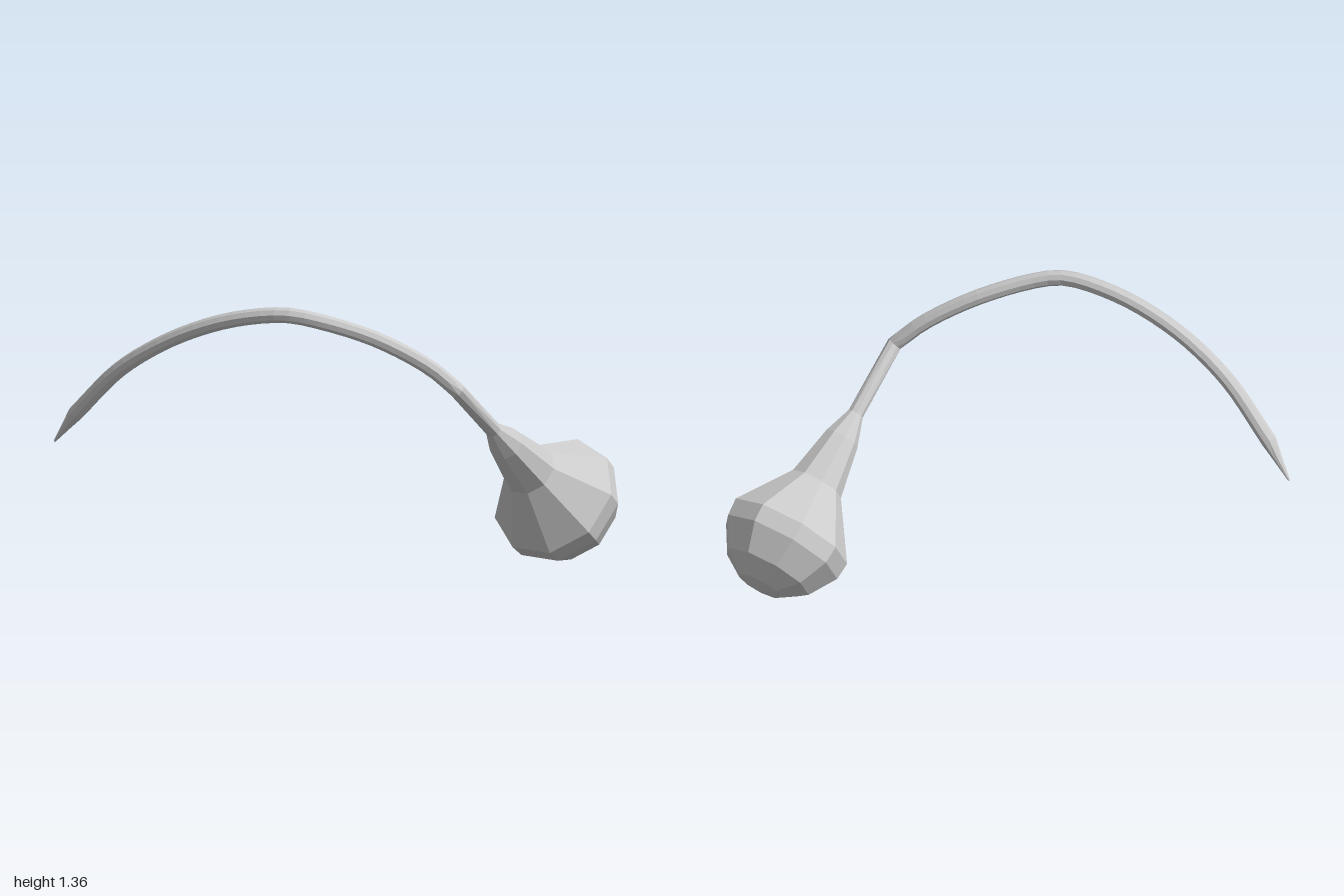
import * as THREE from 'three';

const SIDES = 9;

// Skin of nine-sided rings; each ring is { c: centre, t: tangent, r: radius }
function loft(name, rings, material) {
  const pos = [], index = [];
  for (const { c, t, r } of rings) {
    const u = new THREE.Vector3(0, 1, 0).addScaledVector(t, -t.y).normalize();
    const v = new THREE.Vector3().crossVectors(t, u);
    for (let j = 0; j < SIDES; j++) {
      const a = (j / SIDES) * Math.PI * 2;
      const p = c.clone().addScaledVector(u, r * Math.cos(a)).addScaledVector(v, r * Math.sin(a));
      pos.push(p.x, p.y, p.z);
    }
  }
  for (let i = 0; i < rings.length - 1; i++) {
    for (let j = 0; j < SIDES; j++) {
      const k = (j + 1) % SIDES;
      const a = i * SIDES + j, b = i * SIDES + k;
      index.push(a, b, b + SIDES, a, b + SIDES, a + SIDES);
    }
  }
  const indexed = new THREE.BufferGeometry();
  indexed.setAttribute('position', new THREE.Float32BufferAttribute(pos, 3));
  indexed.setIndex(index);
  const geometry = indexed.toNonIndexed();
  geometry.computeVertexNormals();
  const mesh = new THREE.Mesh(geometry, material);
  mesh.name = name;
  return mesh;
}

export function createModel() {
  const group = new THREE.Group();
  group.name = 'bentStalkWithBulb';
  const material = new THREE.MeshStandardMaterial({ color: 0xcccccc, flatShading: true });

  // Arched stalk, from the tip end to the knee
  const curve = new THREE.CatmullRomCurve3([
    [-0.83, 0.755, 0.957], [-0.6, 0.985, 0.925], [-0.4, 1.125, 0.88], [-0.2, 1.23, 0.815],
    [0, 1.3, 0.735], [0.2, 1.33, 0.64], [0.3, 1.31, 0.565], [0.5, 1.215, 0.36],
    [0.68, 1.075, 0.18], [0.77, 0.965, 0.09],
  ].map((p) => new THREE.Vector3(...p)));
  const STEPS = 32;
  const stalk = [];
  for (let i = 0; i <= STEPS; i++) {
    stalk.push({ c: curve.getPointAt(i / STEPS), t: curve.getTangentAt(i / STEPS), r: 0.037 });
  }

  // Straight axis of the neck and bulb, mitred with the stalk at the knee
  const knee = stalk[STEPS];
  const axis = new THREE.Vector3(0.663, 0.306, -0.69).sub(knee.c).normalize();
  knee.t = knee.t.clone().add(axis).normalize();
  const along = ([s, r]) => ({ c: knee.c.clone().addScaledVector(axis, s), t: axis, r });

  // Pointed tip
  const start = stalk[0];
  const tipEnd = new THREE.Vector3(-0.96, 0.6, 0.96);
  const tipDir = start.c.clone().sub(tipEnd).normalize();
  const tip = [[0, 0], [0.002, 0.005], [0.12, 0.023]].map(([s, r]) => (
    { c: tipEnd.clone().addScaledVector(tipDir, s), t: tipDir, r }));

  // Flaring neck, then the faceted bulb with its rounded end
  const neck = [[0.38, 0.038], [0.515, 0.084], [0.763, 0.131]].map(along);
  const bulb = [[1.024, 0.305], [1.109, 0.299], [1.24, 0.219], [1.314, 0.11], [1.338, 0]].map(along);

  group.add(
    loft('tip', [...tip, start], material),
    loft('stalk', stalk, material),
    loft('neck', [knee, ...neck], material),
    loft('bulb', [neck[2], ...bulb], material),
  );
  return group;
}
